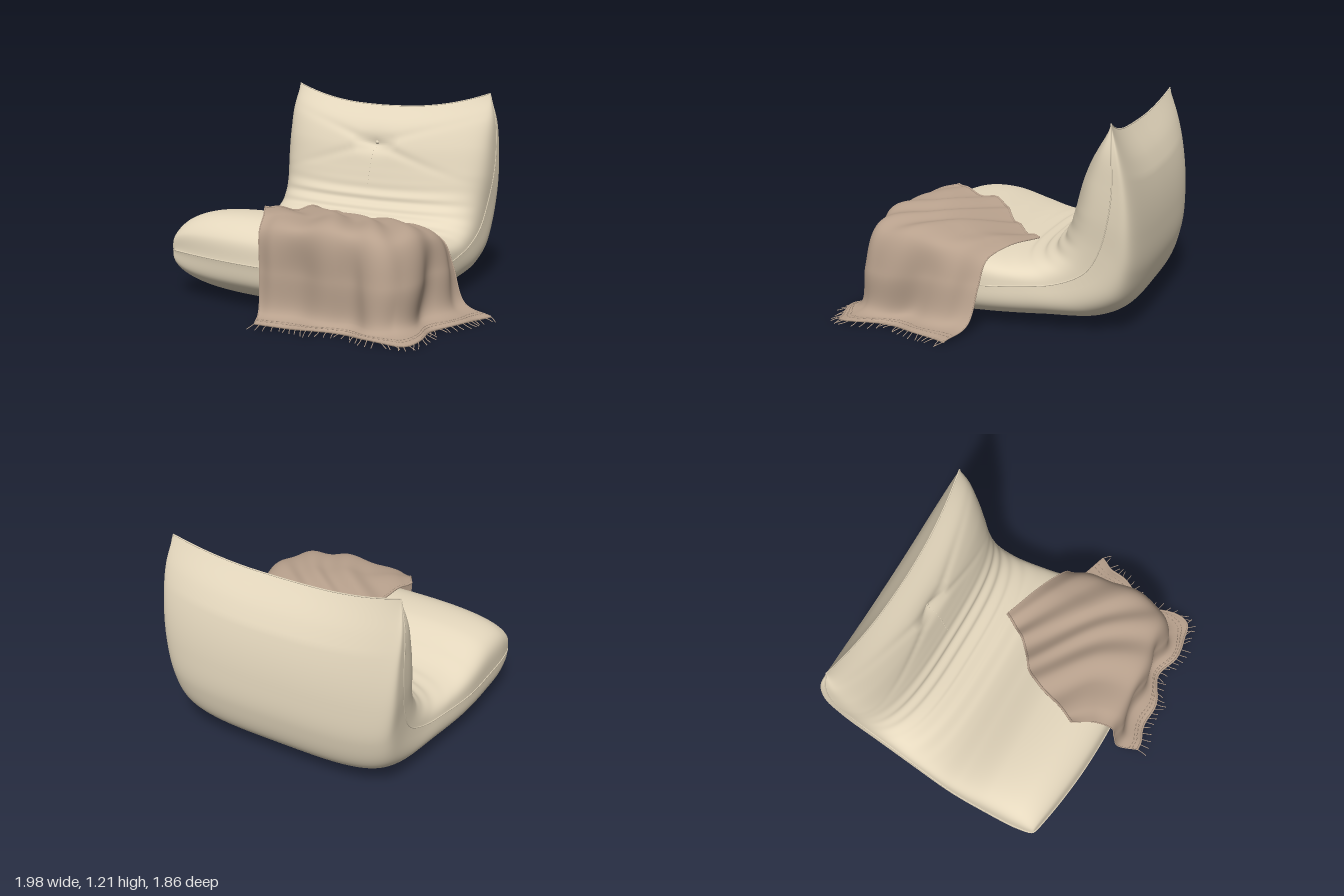
import * as THREE from 'three';
import { mergeGeometries } from 'three/addons/utils/BufferGeometryUtils.js';

const V = (x, y, z) => new THREE.Vector3(x, y, z);
const curve = (pts) => new THREE.CatmullRomCurve3(pts.map((p) => V(...p)), false, 'centripetal');
const { smoothstep: smooth, lerp } = THREE.MathUtils;
const CX = -0.2; // middle of the chair

// Chair profile stations from the top ridge down to the front edge
const seamLine = curve([ // half width, y, z
  [0.72, 1.21, -0.77], [0.755, 1.04, -0.785], [0.76, 0.85, -0.79], [0.755, 0.68, -0.77],
  [0.738, 0.5, -0.72], [0.732, 0.37, -0.64], [0.74, 0.29, -0.48], [0.767, 0.26, -0.25],
  [0.795, 0.25, 0], [0.8, 0.26, 0.25], [0.795, 0.27, 0.49], [0.775, 0.28, 0.63], [0.75, 0.285, 0.66]]);
const innerLine = curve([
  [0, 1.21, -0.77], [0, 1.09, -0.667], [0, 0.93, -0.585], [0, 0.74, -0.52],
  [0, 0.57, -0.455], [0, 0.46, -0.37], [0, 0.41, -0.25], [0, 0.41, -0.1],
  [0, 0.46, 0.05], [0, 0.525, 0.25], [0, 0.515, 0.49], [0, 0.42, 0.63], [0, 0.285, 0.66]]);
const outerLine = curve([
  [0, 1.21, -0.77], [0, 1.04, -0.845], [0, 0.82, -0.902], [0, 0.58, -0.93],
  [0, 0.34, -0.925], [0, 0.14, -0.86], [0, 0.05, -0.72], [0, 0.028, -0.4],
  [0, 0.018, -0.05], [0, 0.022, 0.25], [0, 0.055, 0.49], [0, 0.15, 0.63], [0, 0.285, 0.66]]);

// Point on the cushion: t runs ridge to front, k runs side to side
function cushion(t, k, upper) {
  const s = seamLine.getPoint(t);
  const edge = (upper ? innerLine : outerLine).getPoint(t);
  const a = k * Math.PI, c = Math.cos(a);
  const u = Math.sign(c) * Math.abs(c) ** 0.55;
  // boxy back and seat top, rounder bend and underside
  const round = upper
    ? lerp(lerp(0.52, 0.68, smooth(t, 0.15, 0.38)), 0.45, smooth(t, 0.45, 0.7))
    : lerp(0.34, 0.56, smooth(t, 0.3, 0.55));
  const f = Math.max(0, Math.sin(a)) ** round;
  const x = u * s.x;
  const dir = V(0, edge.y - s.y, edge.z - s.z);
  const p = V(x, s.y, s.z).addScaledVector(dir, f);
  // sagging ridge, padded backrest and bowed front
  p.y -= 0.11 * (1 - Math.abs(u) ** 2.4) * (1 - smooth(t, 0, 0.42));
  p.z += 0.05 * (1 - u * u) * (upper ? 1 - smooth(t, 0.08, 0.4) : Math.max(0, 1 - t * 8));
  p.z -= 0.085 * Math.abs(u) ** 2 * smooth(t, 0.7, 1);
  if (upper) {
    // button dent, radiating creases and the folds in the bend
    const dy = p.y - 0.87, r = Math.hypot(x, dy), back = 1 - smooth(t, 0.28, 0.36);
    let d = -0.025 * Math.exp(-r * r / 0.004);
    for (const slope of [0.28, -0.3]) {
      const off = dy - slope * Math.abs(x);
      d -= 0.015 * Math.exp(-off * off / 0.0008) * Math.exp(-r / 0.3);
    }
    d *= back;
    const fold = smooth(t, 0.27, 0.36) * (1 - smooth(t, 0.5, 0.62));
    d += 0.007 * fold * f * f * Math.sin((t + 0.02 * u * u) * 115);
    p.addScaledVector(dir.normalize(), d * f);
  }
  p.x += CX;
  return p;
}

// Surface over a grid of points
function grid(fn, ni, nj, flip) {
  const pos = [], index = [];
  for (let i = 0; i <= ni; i++) for (let j = 0; j <= nj; j++) {
    pos.push(...fn(i / ni, j / nj).toArray());
    if (i < ni && j < nj) {
      const a = i * (nj + 1) + j, b = a + 1, c = a + nj + 1, d = c + 1;
      if (flip) index.push(a, c, b, b, c, d);
      else index.push(a, b, c, b, d, c);
    }
  }
  const g = new THREE.BufferGeometry();
  g.setAttribute('position', new THREE.Float32BufferAttribute(pos, 3));
  g.setIndex(index);
  g.computeVertexNormals();
  return g;
}

function tube(pts, radius, closed = false, sides = 6) {
  return new THREE.TubeGeometry(new THREE.CatmullRomCurve3(pts, closed), pts.length * 2, radius, sides, closed);
}

// Blanket stations from the edge on the seat to the hem on the floor
const rows = [
  curve([[-0.34, 0.6, 0.47], [-0.27, 0.57, 0.33], [-0.22, 0.56, 0.18], [-0.16, 0.54, 0.08], [-0.08, 0.5, 0.02], [0.01, 0.47, -0.06], [0.07, 0.44, -0.14], [0.13, 0.43, -0.24]]),
  curve([[-0.27, 0.575, 0.58], [-0.06, 0.58, 0.48], [0.1, 0.59, 0.42], [0.24, 0.575, 0.38], [0.33, 0.565, 0.32], [0.38, 0.55, 0.22], [0.41, 0.51, 0.06], [0.4, 0.44, -0.14]]),
  curve([[-0.23, 0.5, 0.68], [0.02, 0.54, 0.69], [0.25, 0.55, 0.67], [0.42, 0.54, 0.64], [0.57, 0.52, 0.58], [0.62, 0.51, 0.39], [0.62, 0.47, 0.17], [0.57, 0.39, -0.07]]),
  curve([[-0.21, 0.28, 0.71], [0.06, 0.28, 0.71], [0.3, 0.28, 0.69], [0.48, 0.28, 0.69], [0.66, 0.28, 0.63], [0.67, 0.28, 0.42], [0.67, 0.28, 0.2], [0.64, 0.26, -0.05]]),
  curve([[-0.19, 0.06, 0.75], [0.08, 0.06, 0.73], [0.32, 0.06, 0.7], [0.52, 0.06, 0.71], [0.67, 0.06, 0.67], [0.67, 0.06, 0.45], [0.7, 0.06, 0.25], [0.73, 0.06, -0.02]]),
  curve([[-0.14, 0.012, 0.86], [0.1, 0.012, 0.83], [0.33, 0.012, 0.77], [0.55, 0.012, 0.78], [0.78, 0.012, 0.77], [0.77, 0.012, 0.5], [0.83, 0.012, 0.28], [0.93, 0.012, 0.04]]),
];
function blanket(v, u) {
  const p = new THREE.CatmullRomCurve3(rows.map((r) => r.getPoint(u)), false, 'centripetal').getPoint(v);
  // soft folds fanning out from the seat, flat at the two side edges
  const wave = Math.sin(u * Math.PI * 9 + v * 3 - 1) * smooth(u, 0, 0.06) * (1 - smooth(u, 0.92, 1));
  const drop = smooth(v, 0.3, 0.6);
  p.y += 0.011 * wave * (1 - drop);
  const ang = smooth(u, 0.4, 0.7) * Math.PI / 2;
  p.x += 0.02 * wave * drop * Math.sin(ang);
  p.z += 0.02 * wave * drop * Math.cos(ang);
  p.y += 0.007 * (1 + wave) * smooth(v, 0.85, 1);
  p.y = Math.max(p.y, 0.012);
  return p;
}

export function createModel() {
  const model = new THREE.Group();
  const mat = (name, color, side = THREE.FrontSide) => Object.assign(new THREE.MeshStandardMaterial({ color, side }), { name });
  const cream = mat('cream upholstery', 0xe5d8be);
  const brown = mat('brown wool', 0xb7a08c, THREE.DoubleSide);
  const add = (name, geo, material, parent) => {
    const m = new THREE.Mesh(geo, material);
    m.name = name;
    parent.add(m);
    return m;
  };
  const steps = (n, fn) => Array.from({ length: n + 1 }, (_, i) => fn(i / n));

  // Chair
  const chair = new THREE.Group();
  chair.name = 'loungeChair';
  model.add(chair);
  add('seatAndBackrest', grid((t, k) => cushion(t, k, true), 180, 90, false), cream, chair);
  add('backAndUnderside', grid((t, k) => cushion(t, k, false), 120, 90, true), cream, chair);
  const loop = [
    ...steps(50, (t) => cushion(t, 0, false)),
    ...steps(24, (k) => cushion(1, k, false)).slice(1),
    ...steps(50, (t) => cushion(1 - t, 1, false)).slice(1),
    ...steps(24, (k) => cushion(0, 1 - k, false)).slice(1, -1),
  ];
  add('seamPiping', tube(loop, 0.004, true), cream, chair);

  // Button and the stitches below it
  const button = add('button', new THREE.SphereGeometry(0.013, 16, 10), cream, chair);
  button.position.copy(cushion(0.15, 0.5, true));
  const stitches = steps(9, (q) => {
    const g = new THREE.SphereGeometry(0.003, 6, 4);
    const p = cushion(0.17 + q * 0.13, 0.5, true);
    return g.translate(p.x, p.y, p.z);
  });
  add('backStitches', mergeGeometries(stitches), cream, chair);

  // Blanket with rolled edges
  const throwGroup = new THREE.Group();
  throwGroup.name = 'blanket';
  model.add(throwGroup);
  add('blanketCloth', grid(blanket, 60, 130, false), brown, throwGroup);
  add('blanketEdges', mergeGeometries([
    tube(steps(60, (u) => blanket(0, u)), 0.008),
    tube(steps(90, (u) => blanket(1, u)), 0.007),
    tube(steps(40, (v) => blanket(v, 0)), 0.004),
    tube(steps(40, (v) => blanket(v, 1)), 0.004),
  ]), brown, throwGroup);

  // Dashed stitching along the hem
  const dashes = [];
  for (const v of [0.92, 0.95]) {
    for (let i = 0; i < 60; i++) {
      const pts = [0.1, 0.4, 0.7].map((q) => blanket(v, (i + q) / 60).add(V(0, 0.002, 0)));
      dashes.push(tube(pts, 0.003, false, 4));
    }
  }
  add('hemStitching', mergeGeometries(dashes), brown, throwGroup);

  // Fringe
  let seed = 7;
  const rand = () => (seed = (seed * 16807) % 2147483647) / 2147483647;
  const strands = steps(46, (u) => {
    const p = blanket(1, u);
    const dir = p.clone().sub(blanket(0.93, u)).setY(0).normalize();
    dir.applyAxisAngle(V(0, 1, 0), (rand() - 0.5) * 0.9);
    const len = 0.045 + rand() * 0.025;
    const mid = p.clone().addScaledVector(dir, len * 0.5).setY(0.012);
    const end = p.clone().addScaledVector(dir, len).setY(0.004);
    end.x += (rand() - 0.5) * 0.015;
    return tube([p, mid, end], 0.0025, false, 5);
  });
  add('fringe', mergeGeometries(strands), brown, throwGroup);
  return model;
}
